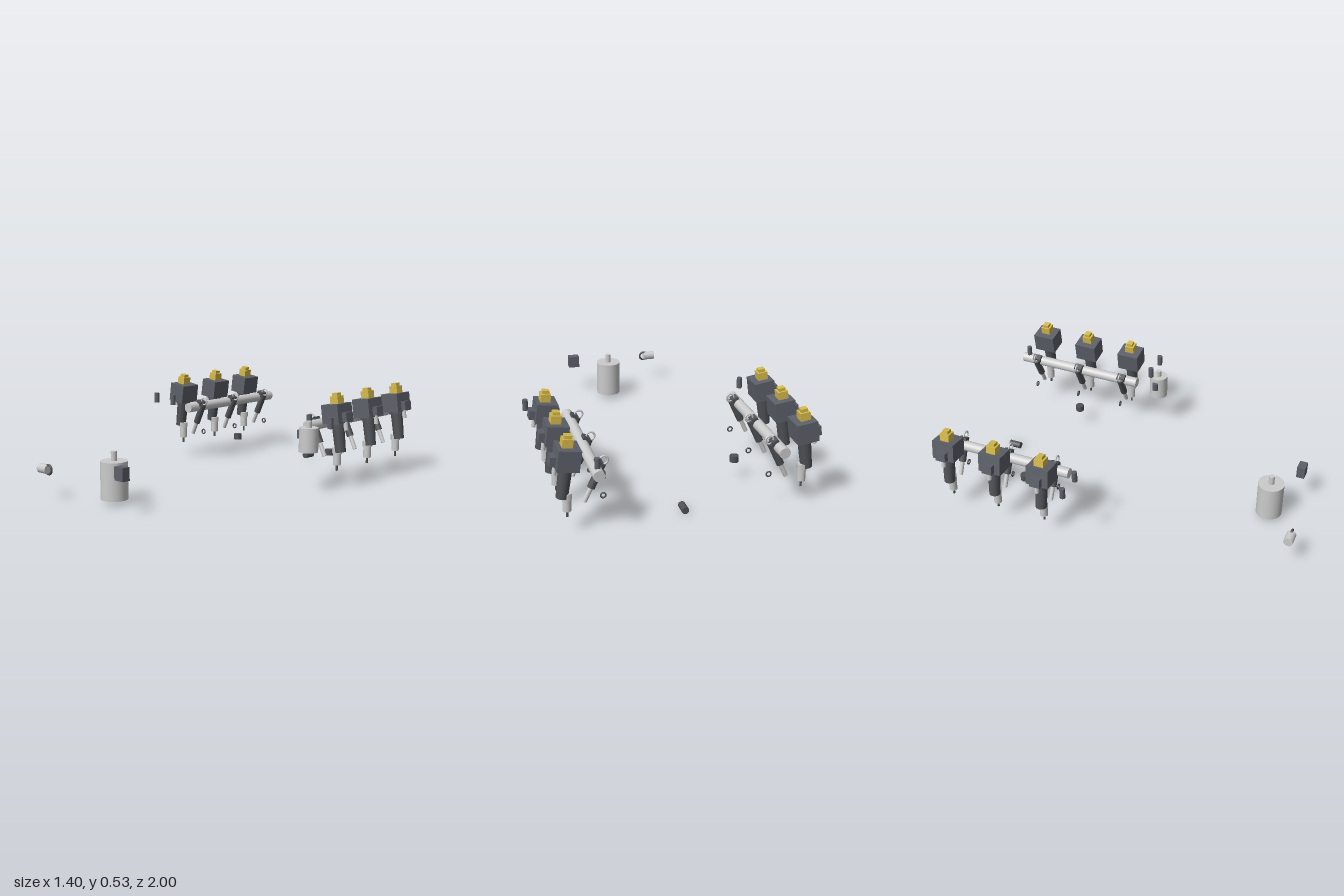
import * as THREE from 'three';

const mat = (color) => new THREE.MeshStandardMaterial({ color });
const metal = mat(0xcccccc);
const casing = mat(0x5d6069);
const rubber = mat(0x505256);
const yellow = mat(0xd6bb4c);

function add(parent, name, geometry, material, x = 0, y = 0, z = 0) {
  const mesh = new THREE.Mesh(geometry, material);
  mesh.name = name;
  mesh.position.set(x, y, z);
  parent.add(mesh);
  return mesh;
}
const cyl = (r, h, rBottom = r, sides = 24) => new THREE.CylinderGeometry(r, rBottom, h, sides);
const box = (w, h, d) => new THREE.BoxGeometry(w, h, d);
const ring = (r, tube) => new THREE.TorusGeometry(r, tube, 10, 28);

function group(parent, name, x, y, z, tilt = 0) {
  const g = new THREE.Group();
  g.name = name;
  g.position.set(x, y, z);
  g.rotation.z = tilt;
  parent.add(g);
  return g;
}

// Ignition coil with boot, tilted with the bank (s = side sign)
function addCoil(parent, s, z) {
  const coil = group(parent, 'ignitionCoil', s * 0.604, 0.414, z, s * 0.14);
  add(coil, 'coilHousing', box(0.112, 0.108, 0.13), casing);
  add(coil, 'connectorBase', box(0.053, 0.045, 0.055), yellow, s * 0.008, 0.074, 0);
  add(coil, 'connectorCap', box(0.036, 0.02, 0.034), yellow, s * 0.008, 0.104, 0);
  add(coil, 'mountingTab', box(0.034, 0.05, 0.06), casing, s * 0.068, -0.02, 0);
  add(coil, 'mountingBolt', cyl(0.012, 0.05), metal, s * 0.052, -0.07, 0);
  add(coil, 'bootCollar', cyl(0.045, 0.02), rubber, 0, -0.058, 0);
  add(coil, 'boot', cyl(0.035, 0.165, 0.03), rubber, 0, -0.133, 0);
}

// Upright spark plug below the coil
function addPlug(parent, s, z) {
  const plug = group(parent, 'sparkPlug', s * 0.61, 0, z);
  add(plug, 'plugHex', cyl(0.028, 0.032, 0.028, 6), metal, 0, 0.205, 0);
  add(plug, 'plugBody', cyl(0.022, 0.07), metal, 0, 0.16, 0);
  add(plug, 'plugElectrode', cyl(0.006, 0.04), rubber, 0, 0.112, 0);
}

// Fuel injector leaning out below the rail
function addInjector(parent, s, z) {
  const injector = group(parent, 'fuelInjector', s * 0.425, 0.372, z, s * 0.44);
  add(injector, 'injectorTopRing', ring(0.021, 0.005), metal);
  add(injector, 'injectorBody', cyl(0.02, 0.135), rubber, 0, -0.085, 0);
  add(injector, 'injectorNozzle', cyl(0.012, 0.09), metal, 0, -0.187, 0);
  add(injector, 'injectorConnector', box(0.036, 0.045, 0.05), rubber, s * 0.02, -0.03, 0);
  add(parent, 'injectorSeal', ring(0.013, 0.004), rubber, s * 0.43, 0.183, z);
}

// Canister with a stem on top
function addFilter(parent, name, r, y0, y1, top, x, z) {
  const filter = group(parent, name, x, 0, z);
  add(filter, 'canister', cyl(r, y1 - y0, r, 40), metal, 0, (y0 + y1) / 2, 0);
  add(filter, 'stem', cyl(0.016, top - y1 + 0.01), metal, 0, (top + y1 - 0.01) / 2, 0);
}

export function createModel() {
  const model = new THREE.Group();
  model.name = 'engineComponents';

  // Two mirrored cylinder banks
  for (const s of [-1, 1]) {
    const bank = group(model, s > 0 ? 'leftBank' : 'rightBank', 0, 0, 0);
    add(bank, 'fuelRail', cyl(0.029, 0.766), metal, s * 0.47, 0.338, -0.617).rotation.x = Math.PI / 2;
    for (const z of [-0.33, -0.615, -0.9]) {
      addCoil(bank, s, z);
      addPlug(bank, s, z);
      addInjector(bank, s, z);
    }
    for (const x of [0.537, 0.683])
      add(bank, 'camSensor', cyl(0.015, 0.06), casing, s * x, 0.388, -0.17);
    add(bank, 'knockSensor', cyl(0.024, 0.035), rubber, s * 0.366, 0.127, -0.577);
  }

  // Filters
  addFilter(model, 'largeFilter', 0.073, 0.024, 0.227, 0.278, 0, 0.767);
  addFilter(model, 'smallFilter', 0.053, 0.222, 0.356, 0.392, 0.567, -0.13);

  // Single sensors
  add(model, 'filterSensor', cyl(0.018, 0.045), casing, 0.509, 0.312, -0.13);
  add(model, 'railSensor', cyl(0.014, 0.06), casing, 0.47, 0.388, -0.963);
  add(model, 'crankSensor', cyl(0.019, 0.07), rubber, 0, 0.021, -0.842).rotation.x = Math.PI / 2;
  add(model, 'controlBox', box(0.064, 0.07, 0.046), casing, 0.201, 0.208, 0.887);

  // Thermostat with its seal ring
  const thermostat = group(model, 'thermostat', -0.325, 0.167, 0.97);
  add(thermostat, 'thermostatBody', cyl(0.026, 0.068), metal).rotation.z = Math.PI / 2;
  add(thermostat, 'thermostatSeal', ring(0.025, 0.006), rubber, 0.035, 0, 0);

  return model;
}
